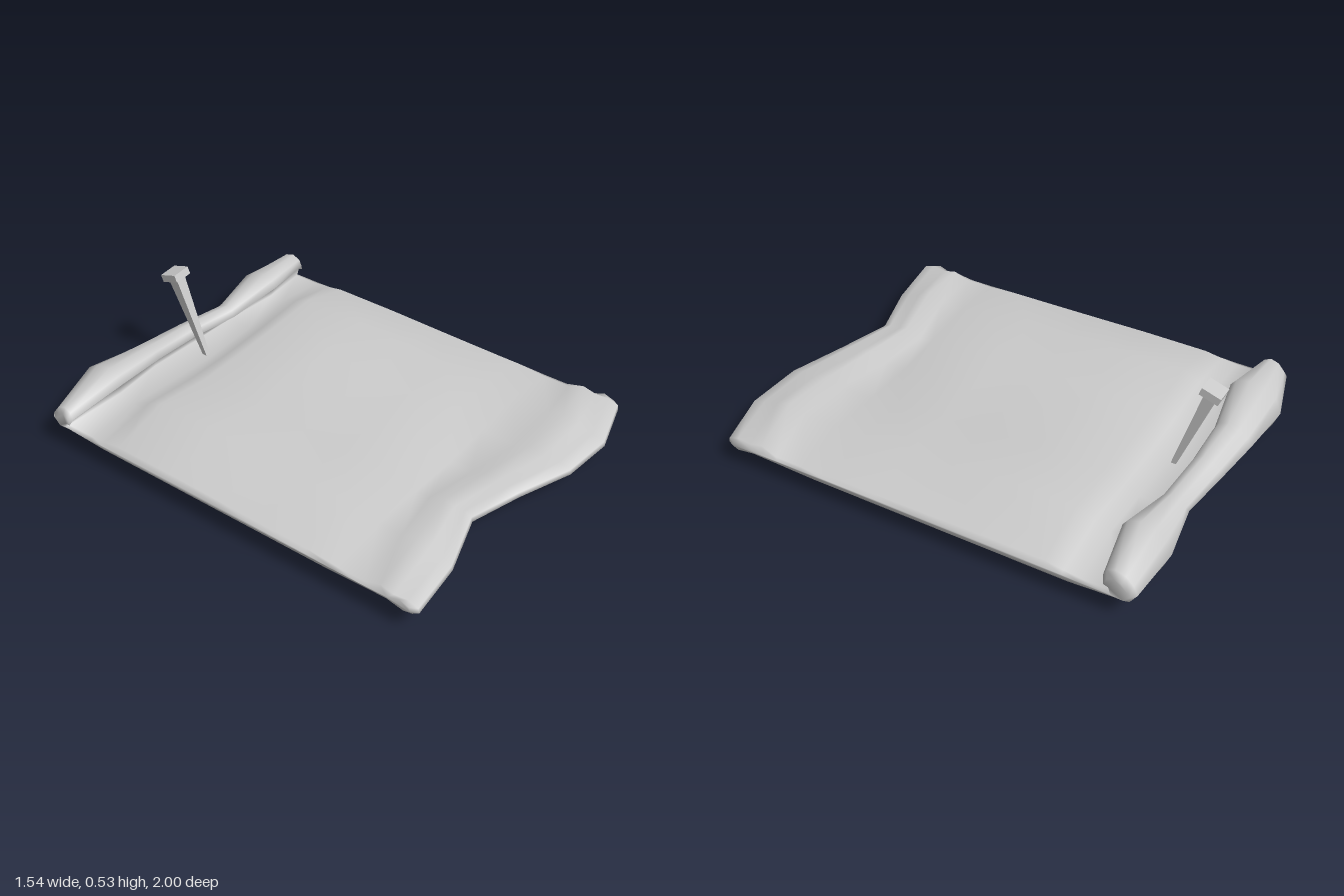
import * as THREE from 'three';

const material = new THREE.MeshStandardMaterial({ color: 0xcccccc });

// Columns across the sheet: x, front z, back z, roll front z,
// bottom, valley, top, front ridge, roll top, front lip height, forward sag
const columns = [
  [-0.768, 0.90, -0.91, -0.82, 0.10, 0.11, 0.115, 0.12, 0.175, 0.10, 0.002],
  [-0.752, 0.93, -0.93, -0.81, 0.078, 0.115, 0.135, 0.14, 0.20, 0.10, 0.01],
  [-0.49, 0.90, -1.00, -0.77, 0.012, 0.14, 0.20, 0.17, 0.25, 0.09, 0.027],
  [-0.23, 0.82, -0.975, -0.81, 0.065, 0.12, 0.17, 0.15, 0.215, 0.10, 0.02],
  [0.00, 0.89, -0.945, -0.81, 0.065, 0.11, 0.175, 0.15, 0.205, 0.10, 0.025],
  [0.25, 0.98, -0.91, -0.79, 0.065, 0.12, 0.185, 0.15, 0.19, 0.095, 0.04],
  [0.50, 1.00, -0.95, -0.745, 0.012, 0.14, 0.20, 0.17, 0.24, 0.09, 0.045],
  [0.752, 0.93, -0.93, -0.79, 0.068, 0.11, 0.13, 0.14, 0.22, 0.095, 0.01],
  [0.768, 0.90, -0.91, -0.80, 0.09, 0.105, 0.11, 0.115, 0.19, 0.098, 0.002],
];

// Closed cross-section as [z, y]: front lip, underside, back roll, top side
function section([, zf, zb, zr, b, v, t, g, r, lip, sag]) {
  const zk = zf * 0.6 + 0.2;
  const w = zr - zb, d = zf - zk;
  return [
    [zf, lip], [zf - 0.03, (b + lip) / 2 - 0.01], [zf - 0.12, b + 0.01],
    [0.5, b], [0, b], [-0.65, b],
    [zb + 0.12, b + 0.012], [zb + 0.03, b * 0.5 + 0.055],
    [zb, 0.135], [zb + 0.12 * w, r - 0.045], [zb + 0.35 * w, r - 0.012],
    [zb + 0.65 * w, r], [zb + 0.9 * w, r - 0.015], [zr, r - 0.045],
    [zr - 0.02, (r + v) / 2 - 0.01], [zr - 0.03, v],
    [-0.7, v], [-0.63, v + (t - v) * 0.4], [-0.55, t], [-0.25, t],
    [0, t - 0.45 * sag], [0.2, t - 0.75 * sag], [0.42, t - sag],
    [0.56, v], [zk - 0.07, v],
    [zk, g], [zk + 0.35 * d, g * 0.6 + 0.042], [zk + 0.7 * d, lip + 0.035], [zf - 0.005, lip + 0.02],
  ];
}

function sheetGeometry() {
  const rings = columns.map(section);
  const n = rings[0].length;
  const positions = [], indices = [];
  rings.forEach((ring, i) => ring.forEach(([z, y]) => positions.push(columns[i][0], y, z)));
  for (let i = 0; i < rings.length - 1; i++) {
    for (let j = 0; j < n; j++) {
      const a = i * n + j, b = i * n + (j + 1) % n;
      indices.push(a, b, a + n, a + n, b, b + n);
    }
  }
  // Rounded side edges, closed and shaded smoothly into the sheet
  for (const i of [0, rings.length - 1]) {
    const outline = rings[i].map(([z, y]) => new THREE.Vector2(-z, y));
    for (const face of THREE.ShapeUtils.triangulateShape(outline, [])) {
      if (i === 0) face.reverse();
      indices.push(...face.map((k) => i * n + k));
    }
  }
  const geometry = new THREE.BufferGeometry();
  geometry.setAttribute('position', new THREE.Float32BufferAttribute(positions, 3));
  geometry.setIndex(indices);
  geometry.computeVertexNormals();
  return geometry;
}

// Square tapered nail leaning back, its tip through the sheet
function createNail() {
  const nail = new THREE.Group();
  nail.name = 'nail';
  const tip = new THREE.Vector3(-0.008, 0.002, -0.695);
  const axis = new THREE.Vector3(-0.043, 0.512, -0.86).sub(tip);
  const length = axis.length();
  const metal = material.clone();
  metal.flatShading = true;

  const shaftGeometry = new THREE.CylinderGeometry(0.037, 0.009, length, 4);
  shaftGeometry.rotateY(Math.PI / 4).translate(0, length / 2, 0);
  const shaft = new THREE.Mesh(shaftGeometry, metal);
  shaft.name = 'nailShaft';

  const head = new THREE.Mesh(new THREE.BoxGeometry(0.086, 0.034, 0.086), metal);
  head.name = 'nailHead';
  head.position.y = length - 0.016;

  nail.add(shaft, head);
  nail.position.copy(tip);
  nail.quaternion.setFromUnitVectors(new THREE.Vector3(0, 1, 0), axis.normalize());
  return nail;
}

export function createModel() {
  const model = new THREE.Group();
  model.name = 'nailedParchment';
  const sheet = new THREE.Mesh(sheetGeometry(), material);
  sheet.name = 'parchmentSheet';
  model.add(sheet, createNail());
  return model;
}
